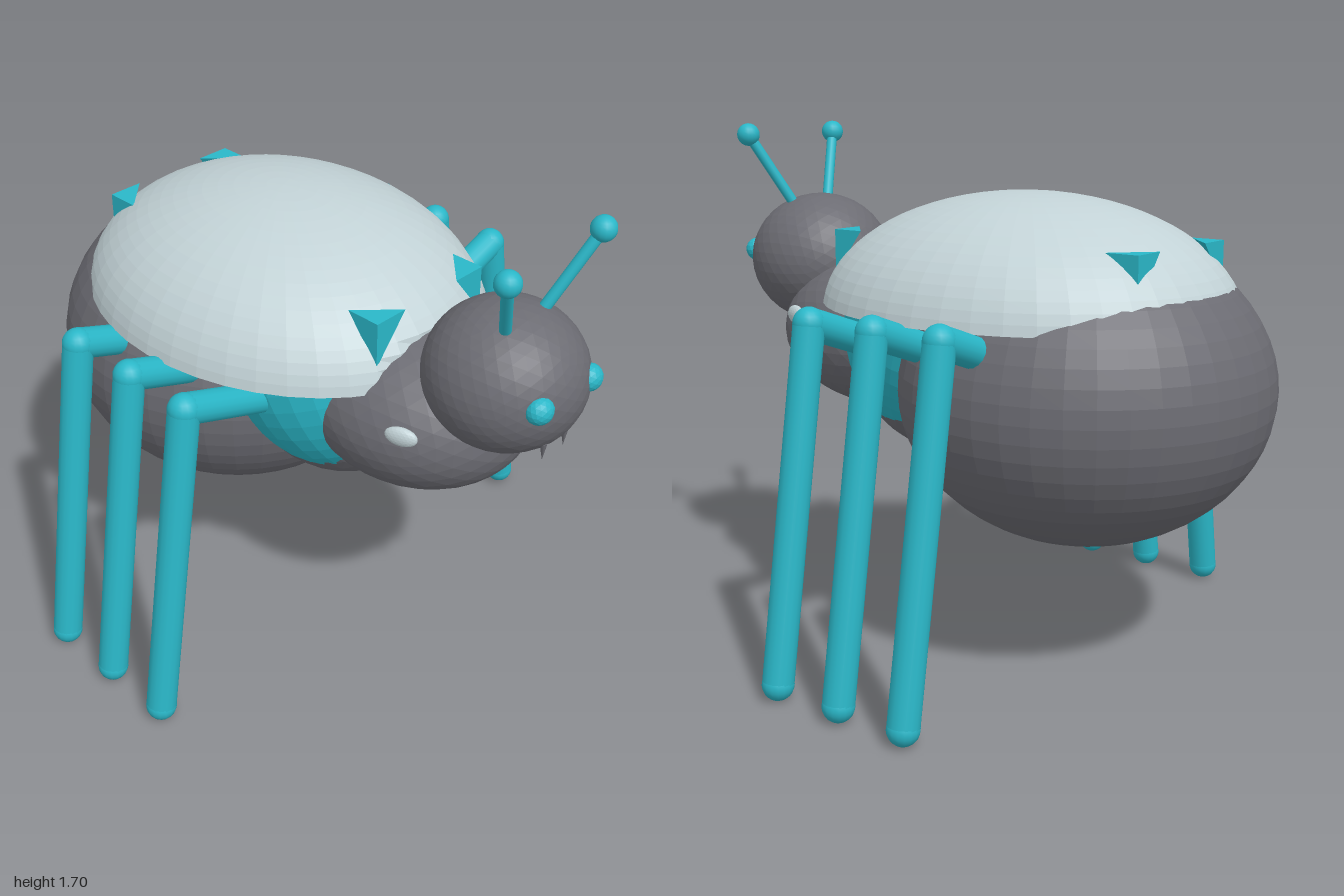
import * as THREE from 'three';
import { ConvexGeometry } from 'three/addons/geometries/ConvexGeometry.js';

const material = (name, color) => {
  const m = new THREE.MeshStandardMaterial({ color });
  m.name = name;
  return m;
};

export function createModel() {
  const model = new THREE.Group();
  model.name = 'beetle';
  const grey = material('dark grey', 0x6c6c73);
  const teal = material('teal', 0x2ab7c8);
  const pale = material('pale grey', 0xc2d2d6);
  const v = (x, y, z) => new THREE.Vector3(x, y, z);

  const add = (name, geometry, mat, parent = model) => {
    const mesh = new THREE.Mesh(geometry, mat);
    mesh.name = name;
    parent.add(mesh);
    return mesh;
  };

  // Unshared corners give each facet its own normal
  const faceted = (geometry) => {
    const g = geometry.index ? geometry.toNonIndexed() : geometry;
    g.computeVertexNormals();
    return g;
  };

  // Faceted ellipsoid from a subdivided icosahedron
  const ellipsoid = (name, mat, centre, radii, detail = 6) => {
    const g = new THREE.IcosahedronGeometry(1, detail).scale(...radii);
    const mesh = add(name, faceted(g), mat);
    mesh.position.set(...centre);
    return mesh;
  };

  // Straight round bar between two points
  const bar = (name, a, b, radius, parent) => {
    const mesh = add(name, new THREE.CylinderGeometry(radius, radius, a.distanceTo(b), 16), teal, parent);
    mesh.position.copy(a).lerp(b, 0.5);
    mesh.quaternion.setFromUnitVectors(v(0, 1, 0), b.clone().sub(a).normalize());
  };
  const ball = (name, centre, radius, parent) => {
    add(name, new THREE.SphereGeometry(radius, 16, 12), teal, parent).position.copy(centre);
  };

  // Body
  const abdomen = new THREE.SphereGeometry(1, 40, 28).scale(0.6, 0.5, 0.6);
  add('abdomen', faceted(abdomen), grey).position.set(0, 0.9, -0.4);
  ellipsoid('thorax', grey, [0, 1.0, 0.42], [0.34, 0.265, 0.39]);
  ellipsoid('belly', grey, [0, 0.98, 0.12], [0.36, 0.37, 0.36]);
  ellipsoid('head', grey, [0, 1.225, 0.745], [0.245, 0.23, 0.25]);

  // Tilted collar between thorax and abdomen, open under the shell
  const collarShape = new THREE.SphereGeometry(1, 32, 14, 0, Math.PI * 2, Math.PI * 0.42, Math.PI * 0.58);
  const collar = add('collar', faceted(collarShape.scale(0.43, 0.47, 0.37)), teal);
  collar.position.set(0, 1.1, 0.09);
  collar.rotation.x = -0.35;

  // Domed shell with flat underside and trimmed front
  const shell = new THREE.Group();
  shell.name = 'shell';
  shell.position.set(0, 1.1, -0.17);
  model.add(shell);
  const trimFront = (g) => {
    const p = g.attributes.position;
    for (let i = 0; i < p.count; i++) p.setZ(i, Math.min(p.getZ(i), 0.655));
    return faceted(g);
  };
  const cut = Math.acos(0.1);
  add('shellDome', trimFront(
    new THREE.SphereGeometry(1, 44, 18, 0, Math.PI * 2, 0, cut).scale(0.595, 0.405, 0.72)), pale, shell);
  add('shellUnderside', trimFront(
    new THREE.CircleGeometry(Math.sin(cut), 44).rotateX(Math.PI / 2).scale(0.595, 1, 0.72).translate(0, 0.0405, 0)),
    pale, shell);

  for (const side of [-1, 1]) {
    const label = side > 0 ? 'left' : 'right';

    // Three bent legs on each side
    [0.13, -0.12, -0.37].forEach((z, i) => {
      const leg = new THREE.Group();
      leg.name = `${label}Leg${i + 1}`;
      model.add(leg);
      const hip = v(side * 0.35, 1.015, z);
      const knee = v(side * 0.7, 1.14, z);
      const foot = v(side * 0.875, 0.05, z);
      bar('upperLeg', hip, knee, 0.049, leg);
      bar('lowerLeg', knee, foot, 0.049, leg);
      ball('knee', knee, 0.05, leg);
      ball('foot', foot, 0.05, leg);
    });

    // Antenna with round tip
    const antenna = new THREE.Group();
    antenna.name = `${label}Antenna`;
    model.add(antenna);
    const tip = v(side * 0.212, 1.663, 0.88);
    bar('antennaStem', v(side * 0.08, 1.41, 0.79), tip, 0.018, antenna);
    ball('antennaTip', tip, 0.039, antenna);

    // Face and cheek details
    ellipsoid(`${label}Eye`, teal, [side * 0.115, 1.25, 0.953], [0.045, 0.042, 0.04], 2);
    const fang = add(`${label}Fang`, new THREE.ConeGeometry(0.012, 0.06, 8).rotateX(Math.PI), grey);
    fang.position.set(side * 0.05, 1.065, 0.935);
    const spot = ellipsoid(`${label}CheekSpot`, pale, [side * 0.283, 1.065, 0.6], [0.02, 0.032, 0.052], 3);
    spot.rotation.y = side * -0.35;

    // Triangular corner points poking out of the shell
    for (const [name, x, z, dir] of [['Front', 0.235, 0.455, -1], ['Rear', 0.255, -0.735, 1]]) {
      const y = 1.362;
      add(`${label}${name}Point`, faceted(new ConvexGeometry([
        v(side * x, y, z), v(side * (x - 0.12), y, z),
        v(side * x, y, z + dir * 0.115), v(side * x, y - 0.15, z),
      ])), teal);
    }
  }
  return model;
}
